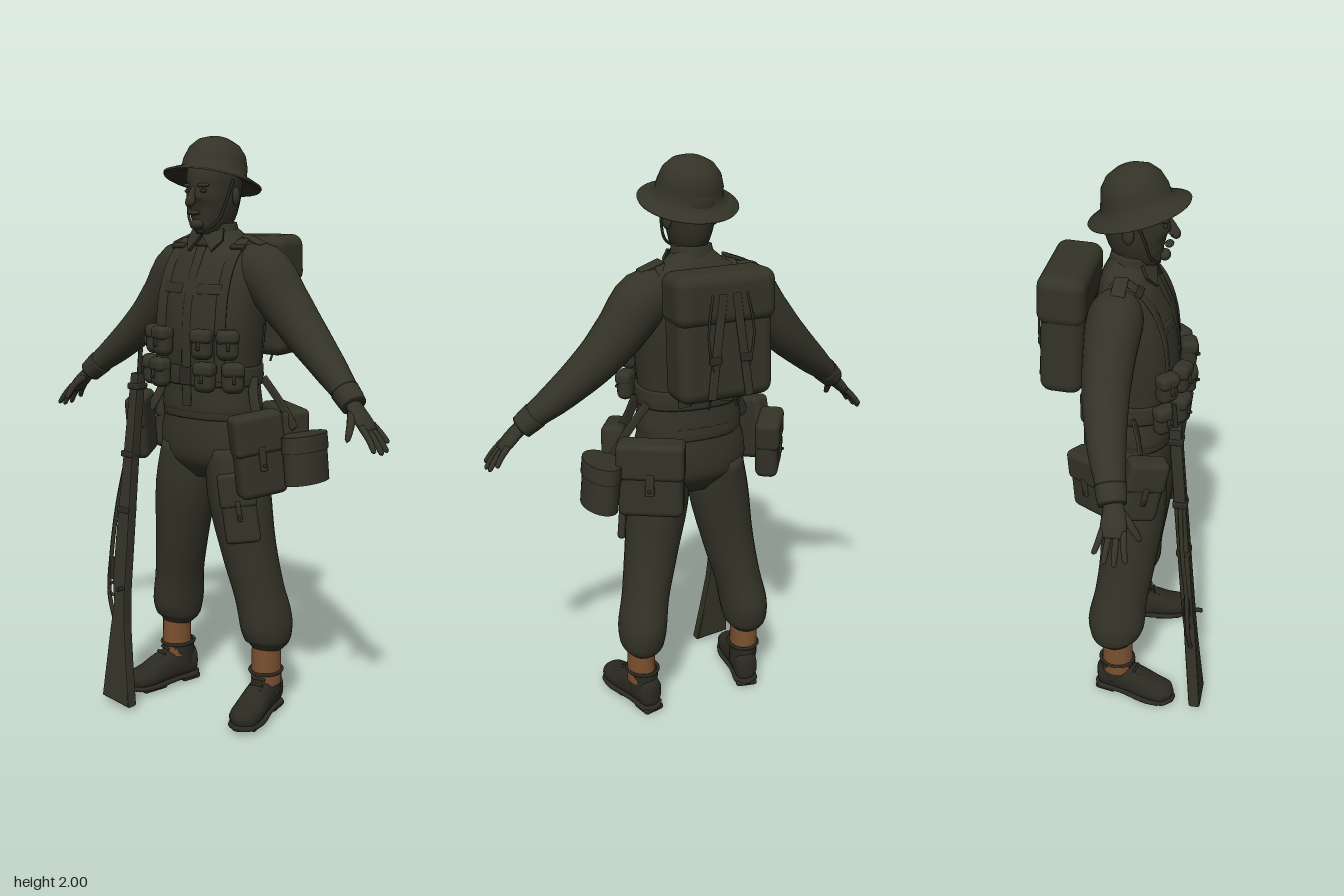
import * as THREE from 'three';
import { RoundedBoxGeometry } from 'three/addons/geometries/RoundedBoxGeometry.js';
import { toCreasedNormals } from 'three/addons/utils/BufferGeometryUtils.js';

const khaki = new THREE.MeshStandardMaterial({ color: 0x333327, name: 'dark khaki' });
const dark = new THREE.MeshStandardMaterial({ color: 0x2b2a21, name: 'dark leather and steel' });
const tan = new THREE.MeshStandardMaterial({ color: 0x7a5030, name: 'tan gaiter' });
const V = (x, y, z) => new THREE.Vector3(x, y, z);

// Smooth closed loft through rows of [x, y, z, radiusU, radiusV]; radiusV lies along "up"
function loft(rows, { up = V(0, 0, 1), n = 2, sides = 28, steps = 4 } = {}) {
  const path = new THREE.CatmullRomCurve3(rows.map(r => V(r[0], r[1], r[2])));
  const radii = new THREE.CatmullRomCurve3(rows.map(r => V(r[3], r[4], 0)), false, 'catmullrom', 0.4);
  const count = (rows.length - 1) * steps, pos = [], idx = [];
  const power = c => Math.sign(c) * Math.abs(c) ** (2 / n);
  for (let i = 0; i <= count; i++) {
    const c = path.getPoint(i / count), r = radii.getPoint(i / count), t = path.getTangent(i / count);
    const v = up.clone().addScaledVector(t, -up.dot(t)).normalize(), u = v.clone().cross(t);
    for (let j = 0; j < sides; j++) {
      const a = j / sides * Math.PI * 2;
      const p = c.clone().addScaledVector(u, power(Math.cos(a)) * r.x).addScaledVector(v, power(Math.sin(a)) * r.y);
      pos.push(p.x, p.y, p.z);
    }
  }
  const first = pos.length / 3, last = rows[rows.length - 1];
  pos.push(...rows[0].slice(0, 3), ...last.slice(0, 3));
  for (let j = 0; j < sides; j++) {
    const k = (j + 1) % sides, e = count * sides;
    for (let i = 0; i < count; i++) {
      const a = i * sides + j, b = i * sides + k;
      idx.push(a, b, b + sides, a, b + sides, a + sides);
    }
    idx.push(first, k, j, first + 1, e + j, e + k);
  }
  const g = new THREE.BufferGeometry();
  g.setAttribute('position', new THREE.Float32BufferAttribute(pos, 3));
  g.setIndex(idx);
  g.computeVertexNormals();
  return g;
}

function add(parent, name, geometry, material = khaki, p = [0, 0, 0], r = [0, 0, 0]) {
  const m = new THREE.Mesh(geometry, material);
  m.name = name;
  m.position.set(...p);
  m.rotation.set(...r);
  parent.add(m);
  return m;
}
const box = (w, h, d, r = 0.01) => new RoundedBoxGeometry(w, h, d, 3, Math.min(r, w / 2.1, h / 2.1, d / 2.1));
const ball = (x, y, z) => new THREE.SphereGeometry(1, 16, 12).scale(x, y, z);
const strap = (pts, w = 0.022) => loft(pts.map(p => [...p, 0.005, w]), { up: V(1, 0, 0), n: 5, sides: 12 });
const tube = (pts, r) => new THREE.TubeGeometry(new THREE.CatmullRomCurve3(pts.map(p => V(...p))), 20, r, 6);

// Canvas bag with an overlapping flap and a stud, front along +z
function bag(parent, name, [w, h, d], p, r) {
  const g = new THREE.Group();
  g.name = name;
  g.position.set(...p);
  g.rotation.set(...r);
  parent.add(g);
  add(g, 'bagBody', box(w, h, d, 0.025));
  add(g, 'bagFlap', box(w * 1.05, h * 0.5, d * 1.07, 0.02), khaki, [0, h * 0.27, 0.003]);
  add(g, 'bagTab', box(w * 0.14, h * 0.3, 0.012, 0.004), khaki, [0, -h * 0.02, d * 0.53]);
  add(g, 'bagStud', ball(0.006, 0.006, 0.005), dark, [0, -h * 0.1, d * 0.53 + 0.008]);
}

function buildHead(g) {
  add(g, 'head', loft([[0, 1.69, 0.075, 0.026, 0.03], [0, 1.715, 0.05, 0.052, 0.063], [0, 1.76, 0.022, 0.07, 0.1],
    [0, 1.82, 0.008, 0.08, 0.108], [0, 1.88, 0.003, 0.085, 0.11], [0, 1.93, 0, 0.07, 0.09]]));
  add(g, 'neck', loft([[0, 1.62, -0.02, 0.075, 0.07], [0, 1.7, 0, 0.058, 0.062], [0, 1.78, 0, 0.06, 0.065]]));
  add(g, 'nose', loft([[0, 1.835, 0.108, 0.008, 0.01], [0, 1.805, 0.122, 0.011, 0.016], [0, 1.785, 0.128, 0.017, 0.02], [0, 1.777, 0.122, 0.01, 0.01]], { sides: 12 }));
  add(g, 'lips', ball(0.026, 0.009, 0.014), khaki, [0, 1.752, 0.113]);
  add(g, 'chin', ball(0.026, 0.018, 0.02), khaki, [0, 1.714, 0.098]);
  for (const s of [-1, 1]) {
    add(g, 'ear', ball(0.012, 0.032, 0.02), khaki, [s * 0.086, 1.805, -0.005], [0, s * 0.3, 0]);
    add(g, 'eye', ball(0.014, 0.007, 0.008), dark, [s * 0.033, 1.823, 0.103]);
    add(g, 'brow', ball(0.022, 0.007, 0.011), khaki, [s * 0.034, 1.841, 0.104], [0, s * 0.35, 0]);
    add(g, 'chinStrap', tube([[s * 0.095, 1.86, 0.02], [s * 0.084, 1.79, 0.045], [s * 0.062, 1.725, 0.062], [0, 1.688, 0.082]], 0.005), dark);
  }
  // Shallow bowl helmet with a wide drooping brim, tilted back
  const profile = [[0.158, -0.017], [0.105, 0.004], [0.165, -0.012], [0.168, -0.006], [0.135, 0.01], [0.112, 0.022], [0.109, 0.055],
    [0.097, 0.092], [0.074, 0.119], [0.04, 0.136], [0, 0.142]];
  const bowl = new THREE.LatheGeometry(profile.slice(2).map(p => new THREE.Vector2(...p)), 48);
  const helmet = new THREE.Group();
  helmet.name = 'helmet';
  helmet.position.set(0, 1.862, 0.015);
  helmet.rotation.x = -0.27;
  g.add(helmet);
  add(helmet, 'helmetBowl', bowl);
  add(helmet, 'helmetUnderside', new THREE.LatheGeometry([[0, 0.03], [0.1, 0.012], [0.135, 0.004], [0.165, -0.012]].map(p => new THREE.Vector2(...p)).reverse(), 48).scale(1, 1, 1), dark)
    .material = Object.assign(dark, { side: THREE.DoubleSide });
}

function buildTorso(g) {
  add(g, 'hips', loft([[0, 0.85, 0.01, 0.09, 0.07], [0, 0.92, 0.012, 0.195, 0.125], [0, 1.0, 0.012, 0.205, 0.132],
    [0, 1.1, 0.015, 0.18, 0.122]], { n: 2.3 }));
  add(g, 'blouse', loft([[0, 1.07, 0.018, 0.18, 0.123], [0, 1.1, 0.018, 0.19, 0.132], [0, 1.2, 0.018, 0.178, 0.127], [0, 1.35, 0.018, 0.187, 0.138],
    [0, 1.48, 0.005, 0.192, 0.133], [0, 1.58, -0.012, 0.186, 0.108], [0, 1.635, -0.018, 0.155, 0.087], [0, 1.67, -0.012, 0.1, 0.072], [0, 1.7, -0.005, 0.065, 0.06]], { n: 2.3, sides: 40 }));
  add(g, 'waistband', loft([[0, 1.065, 0.016, 0.186, 0.13], [0, 1.085, 0.016, 0.188, 0.132], [0, 1.11, 0.016, 0.186, 0.13]], { n: 2.3 }));
  add(g, 'belt', loft([[0, 1.18, 0.018, 0.188, 0.137], [0, 1.21, 0.018, 0.19, 0.139], [0, 1.245, 0.018, 0.188, 0.138]], { n: 2.3 }));
  add(g, 'beltBuckle', box(0.045, 0.06, 0.014, 0.004), dark, [0, 1.212, 0.158]);
  add(g, 'placket', strap([[0, 1.11, 0.151], [0, 1.3, 0.153], [0, 1.45, 0.143], [0, 1.56, 0.11], [0, 1.64, 0.072]], 0.018));
  for (const y of [1.32, 1.42, 1.51]) add(g, 'button', ball(0.007, 0.007, 0.005), dark, [0, y, 0.153 - (y - 1.32) * 0.13]);
  add(g, 'collarBand', loft([[0, 1.645, -0.012, 0.088, 0.08], [0, 1.69, -0.01, 0.074, 0.07], [0, 1.718, -0.008, 0.068, 0.064]]));
  for (const s of [-1, 1]) {
    const leaf = new THREE.Shape([[0, 0], [s * 0.068, 0.035], [s * 0.078, -0.005], [s * 0.05, -0.052]].map(p => new THREE.Vector2(...p)));
    add(g, 'collarLeaf', new THREE.ExtrudeGeometry(leaf, { depth: 0.01, bevelEnabled: false }), khaki, [0, 1.675, 0.066], [-0.5, s * 0.3, 0]);
    add(g, 'chestPocket', box(0.09, 0.11, 0.016, 0.007), khaki, [s * 0.08, 1.455, 0.124], [-0.12, s * 0.2, 0]);
    add(g, 'pocketFlap', box(0.096, 0.036, 0.018, 0.007), khaki, [s * 0.08, 1.502, 0.12], [-0.2, s * 0.2, s * 0.05]);
    add(g, 'shoulderStrap', box(0.085, 0.012, 0.045, 0.005), khaki, [s * 0.155, 1.662, -0.02], [0, 0, -s * 0.35]);
    add(g, 'webStrap', strap([[s * 0.13, 1.2, 0.135], [s * 0.132, 1.38, 0.133], [s * 0.13, 1.5, 0.115], [s * 0.128, 1.6, 0.07],
      [s * 0.125, 1.668, -0.015], [s * 0.12, 1.6, -0.1], [s * 0.1, 1.45, -0.13], [s * 0.08, 1.2, -0.125]]));
    add(g, 'strapBuckle', box(0.055, 0.022, 0.016, 0.004), dark, [s * 0.13, 1.64, 0.04], [-1, 0, 0]);
    // Double ammunition pouches, two rows on each side
    for (const [x, y, z, a] of [[0.088, 1.325, 0.173, 0.25], [0.165, 1.325, 0.135, 0.75], [0.1, 1.217, 0.173, 0.25], [0.185, 1.217, 0.13, 0.8]])
      bag(g, 'ammunitionPouch', [0.074, 0.1, 0.055], [s * x, y, z], [0, s * a, 0]);
  }
}

function buildArm(g, s) {
  const rows = [[0.1, 1.575, -0.025, 0.07, 0.07], [0.18, 1.56, -0.03, 0.095, 0.09], [0.27, 1.46, -0.035, 0.085, 0.082], [0.35, 1.375, -0.03, 0.073, 0.074],
    [0.47, 1.268, -0.005, 0.056, 0.06], [0.555, 1.198, 0.022, 0.042, 0.047], [0.592, 1.165, 0.034, 0.037, 0.04]];
  const flip = list => list.map(([x, ...rest]) => [s * x, ...rest]);
  add(g, 'sleeve', loft(flip(rows)));
  add(g, 'cuff', loft(flip([[0.552, 1.2, 0.021, 0.045, 0.05], [0.575, 1.18, 0.028, 0.043, 0.048], [0.597, 1.16, 0.035, 0.04, 0.044]])));
  add(g, 'palm', loft(flip([[0.585, 1.172, 0.034, 0.023, 0.028], [0.615, 1.143, 0.042, 0.021, 0.036], [0.645, 1.112, 0.046, 0.019, 0.041], [0.668, 1.088, 0.047, 0.012, 0.036]]), { sides: 16 }));
  const fingers = [[0.015, -0.004, 0.7], [0.037, 0.028, 0.96], [0.058, 0.06, 1], [0.078, 0.092, 0.88]];
  for (const [z0, z1, l] of fingers)
    add(g, 'finger', loft(flip([[0.652, 1.106, z0, 0.011, 0.011], [0.652 + 0.04 * l, 1.106 - 0.042 * l, (z0 + z1) / 2, 0.01, 0.01],
      [0.652 + 0.065 * l, 1.106 - 0.078 * l, z1, 0.008, 0.008], [0.652 + 0.068 * l, 1.106 - 0.084 * l, z1, 0.002, 0.002]]), { sides: 10 }));
  add(g, 'thumb', loft(flip([[0.605, 1.145, 0.06, 0.014, 0.014], [0.625, 1.11, 0.095, 0.013, 0.013], [0.633, 1.07, 0.122, 0.009, 0.009], [0.634, 1.062, 0.127, 0.002, 0.002]]), { sides: 10, up: V(1, 0, 0) }));
}

function buildLeg(g, s) {
  add(g, 'trouserLeg', loft([[s * 0.1, 0.96, 0.012, 0.095, 0.12], [s * 0.122, 0.8, 0.018, 0.108, 0.115], [s * 0.157, 0.6, 0.005, 0.094, 0.101],
    [s * 0.188, 0.45, -0.015, 0.084, 0.097], [s * 0.208, 0.34, -0.03, 0.086, 0.104], [s * 0.213, 0.275, -0.034, 0.078, 0.088], [s * 0.214, 0.24, -0.03, 0.05, 0.058]]));
  add(g, 'gaiter', new THREE.CylinderGeometry(0.049, 0.052, 0.15, 24).scale(1, 1, 1.12), tan, [s * 0.214, 0.19, -0.025]);
  const boot = new THREE.Group();
  boot.name = 'boot';
  boot.position.set(s * 0.212, 0, -0.022);
  boot.rotation.y = s * 0.22;
  g.add(boot);
  const up = V(0, 1, 0);
  add(boot, 'bootUpper', loft([[0, 0.075, -0.082, 0.018, 0.035], [0, 0.075, -0.065, 0.042, 0.058], [0, 0.08, 0, 0.046, 0.066],
    [0, 0.07, 0.07, 0.05, 0.056], [0, 0.054, 0.135, 0.055, 0.04], [0, 0.048, 0.19, 0.047, 0.034], [0, 0.042, 0.217, 0.016, 0.016]], { up, n: 2.3 }), dark);
  add(boot, 'bootShaft', new THREE.CylinderGeometry(0.054, 0.05, 0.09, 24).scale(1, 1, 1.15), dark, [0, 0.115, -0.008]);
  add(boot, 'sole', loft([[0, 0.022, -0.088, 0.02, 0.009], [0, 0.022, -0.06, 0.046, 0.01], [0, 0.022, 0.02, 0.044, 0.01],
    [0, 0.022, 0.13, 0.06, 0.01], [0, 0.024, 0.195, 0.048, 0.01], [0, 0.027, 0.223, 0.016, 0.009]], { up, n: 4 }), dark);
  add(boot, 'heel', box(0.08, 0.024, 0.08), dark, [0, 0.012, -0.044]);
  add(boot, 'frontTread', box(0.09, 0.016, 0.1, 0.007), dark, [0, 0.01, 0.125]);
  for (let i = 0; i < 4; i++) add(boot, 'lace', box(0.05, 0.008, 0.01, 0.003), dark, [0, 0.143 - i * 0.014, 0.054 + i * 0.017], [0.7, 0, 0]);
  add(boot, 'ankleStrap', new THREE.TorusGeometry(0.056, 0.006, 6, 24).rotateX(Math.PI / 2).scale(1, 1, 1.12), dark, [0, 0.16, -0.006]);
}

function buildKit(g) {
  // Back pack with lid, straps and loose cords
  const pack = new THREE.Group();
  pack.name = 'backPack';
  pack.position.set(0, 1.465, -0.212);
  pack.rotation.x = 0.05;
  g.add(pack);
  add(pack, 'packBody', box(0.335, 0.41, 0.145, 0.04));
  add(pack, 'packLid', box(0.35, 0.17, 0.16, 0.04), khaki, [0, 0.128, -0.004]);
  for (const s of [-1, 1]) {
    add(pack, 'packStrap', box(0.028, 0.34, 0.012, 0.004), khaki, [s * 0.045, -0.02, -0.082], [0, 0, s * 0.13]);
    add(pack, 'packBuckle', box(0.04, 0.026, 0.016, 0.004), dark, [s * 0.055, -0.06, -0.087]);
    add(pack, 'cord', tube([[s * 0.06, 0.15, -0.084], [s * 0.08, 0.02, -0.09], [s * 0.06, -0.12, -0.08], [s * 0.05, -0.24, -0.02]], 0.004));
  }
  // Bags, bottle and tin hanging from the belt
  bag(g, 'leftFrontBag', [0.17, 0.28, 0.075], [0.25, 0.96, 0.075], [0, 1.05, 0.13]);
  bag(g, 'leftRearBag', [0.22, 0.26, 0.09], [0.205, 0.965, -0.125], [0, 2.6, 0]);
  bag(g, 'thighPocket', [0.12, 0.24, 0.03], [0.19, 0.77, 0.1], [0, 0.55, 0.14]);
  bag(g, 'rightFrontBag', [0.13, 0.23, 0.07], [-0.285, 1.0, 0.075], [0, -1.15, -0.2]);
  bag(g, 'rightRearBag', [0.16, 0.21, 0.08], [-0.265, 1.0, -0.09], [0, -2.2, 0.1]);
  const tin = new THREE.CylinderGeometry(1, 1, 0.15, 32);
  add(g, 'messTin', toCreasedNormals(tin.scale(0.058, 1, 0.1), 0.7), khaki, [0.358, 0.94, -0.045], [0, 0, 0.1]);
  add(g, 'messTinLid', toCreasedNormals(new THREE.CylinderGeometry(0.98, 1, 0.055, 32).scale(0.062, 1, 0.104), 0.7), khaki, [0.353, 1.0, -0.045], [0, 0, 0.1]);
  add(g, 'tinHanger', strap([[0.18, 1.2, -0.04], [0.25, 1.12, -0.045], [0.31, 1.04, -0.045]], 0.015));
  for (const s of [-1, 1]) add(g, 'bagHanger', strap([[s * 0.19, 1.21, 0.03], [s * 0.21, 1.14, 0.05], [s * 0.25, 1.06, 0.07]], 0.018));
}

function buildRifle(g) {
  const rifle = new THREE.Group();
  rifle.name = 'rifle';
  g.add(rifle);
  const outline = [[-0.16, 0.018], [-0.183, 0.16], [-0.203, 0.3], [-0.21, 0.42], [-0.208, 0.6], [-0.205, 0.9], [-0.195, 1.2],
    [-0.222, 1.2], [-0.24, 0.9], [-0.256, 0.62], [-0.262, 0.46], [-0.25, 0.38], [-0.262, 0.28], [-0.285, 0.03]];
  const lean = geo => { // lean the weapon back toward the body
    const p = geo.attributes.position;
    for (let i = 0; i < p.count; i++) p.setZ(i, p.getZ(i) + 0.28 - 0.09 * p.getY(i));
    geo.computeVertexNormals();
    return geo;
  };
  const stock = new THREE.ExtrudeGeometry(new THREE.Shape(outline.map(p => new THREE.Vector2(...p))),
    { depth: 0.026, bevelSize: 0.005, bevelThickness: 0.008, bevelSegments: 2 });
  add(rifle, 'stock', lean(stock.translate(0, 0, -0.013)));
  add(rifle, 'barrel', lean(new THREE.CylinderGeometry(0.008, 0.01, 0.2, 10, 4).translate(-0.203, 1.19, 0)), dark);
  add(rifle, 'triggerGuard', lean(new THREE.TorusGeometry(0.024, 0.005, 6, 16).translate(-0.275, 0.42, 0)), dark);
  add(rifle, 'magazine', lean(box(0.04, 0.08, 0.022).translate(-0.275, 0.495, 0)), dark);
  add(rifle, 'bolt', lean(new THREE.CylinderGeometry(0.008, 0.008, 0.05, 8).rotateX(1.57).translate(-0.215, 0.44, 0.02)), dark);
  for (const [x, y] of [[-0.232, 0.72], [-0.226, 0.92], [-0.21, 1.16]])
    add(rifle, 'barrelBand', lean(box(0.055, 0.022, 0.05, 0.006).translate(x, y, 0)), dark);
  add(rifle, 'sling', lean(tube([[-0.262, 0.3, 0], [-0.298, 0.4, 0], [-0.292, 0.55, 0.005], [-0.28, 0.72, 0], [-0.242, 0.92, 0]], 0.008)));
}

export function createModel() {
  const soldier = new THREE.Group();
  soldier.name = 'soldier';
  buildHead(soldier);
  buildTorso(soldier);
  for (const s of [-1, 1]) {
    buildArm(soldier, s);
    buildLeg(soldier, s);
  }
  buildKit(soldier);
  buildRifle(soldier);
  return soldier;
}
